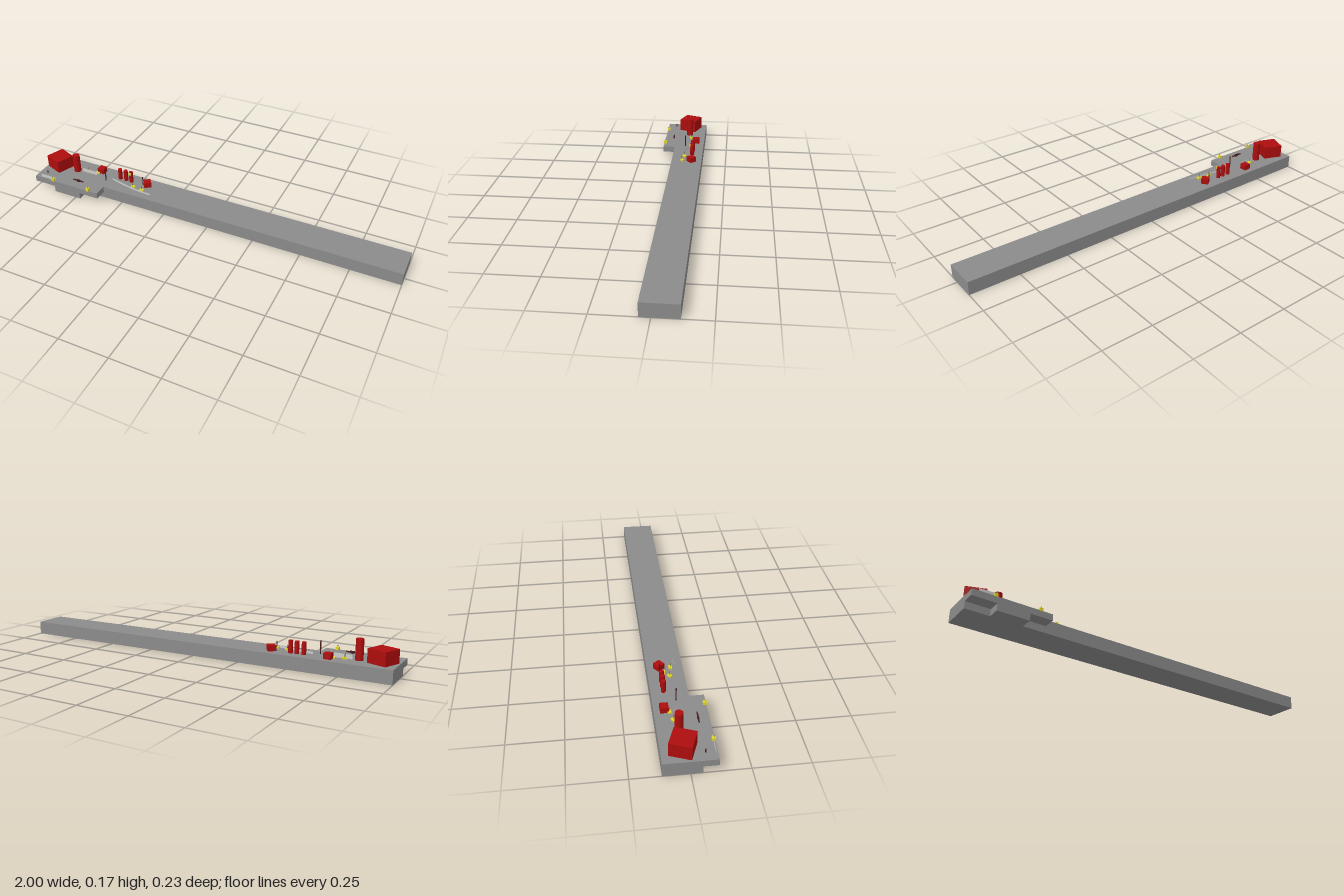
import * as THREE from 'three';

export function createModel() {
  const group = new THREE.Group();
  const mat = (color) => new THREE.MeshStandardMaterial({ color, flatShading: true });
  const grey = mat(0x8b8b8b), red = mat(0xad0d0d), yellow = mat(0xe0d830), olive = mat(0x6b6420), dark = mat(0x4a1c1c);
  const pale = new THREE.MeshStandardMaterial({ color: 0xcccccc, side: THREE.DoubleSide });
  const top = 0.067; // height of the deck surface

  function add(name, geometry, material, x, y, z, turn = 0) {
    const mesh = new THREE.Mesh(geometry, material);
    mesh.name = name;
    mesh.position.set(x, y, z);
    mesh.rotation.y = turn;
    group.add(mesh);
  }
  // Box given by its limits
  const span = (name, x0, x1, y0, y1, z0, z1) => add(name,
    new THREE.BoxGeometry(x1 - x0, y1 - y0, z1 - z0), grey, (x0 + x1) / 2, (y0 + y1) / 2, (z0 + z1) / 2);
  // Box or post standing on the deck
  const block = (name, x, z, w, h, d, material, turn = 0, base = top) =>
    add(name, new THREE.BoxGeometry(w, h, d), material, x, base + h / 2, z, turn);
  const post = (name, x, z, r, h, material, sides = 12, base = top) =>
    add(name, new THREE.CylinderGeometry(r, r, h, sides), material, x, base + h / 2, z);

  // Long base with a side apron, deeper in the middle
  span('longBase', -1, 1, 0, top, -0.117, 0.05);
  span('apronEnd', -1, -0.88, 0.035, top, 0.05, 0.116);
  span('apronMiddle', -0.88, -0.722, 0, top, 0.05, 0.116);
  span('apronEnd', -0.722, -0.61, 0.035, top, 0.05, 0.116);

  // Red crates and tanks
  block('largeCrate', -0.928, -0.024, 0.099, 0.067, 0.099, red, -0.37);
  block('smallCrate', -0.69, -0.071, 0.037, 0.028, 0.037, red);
  block('turnedCrate', -0.403, -0.061, 0.038, 0.028, 0.038, red, 0.65);
  post('tallTank', -0.82, -0.025, 0.019, 0.1, red);
  for (const x of [-0.567, -0.532, -0.5]) post('slimTank', x, -0.059, 0.011, 0.061, red);

  // Thin poles
  post('mast', -0.63, -0.011, 0.003, 0.066, dark, 6);
  post('antenna', -0.43, -0.06, 0.002, 0.048, dark, 5);

  // Yellow boxes with short aerials
  for (const x of [-0.888, -0.67]) {
    block('edgeBox', x, 0.11, 0.016, 0.017, 0.016, yellow, 0, 0.064);
    post('edgeAerial', x, 0.112, 0.0015, 0.007, olive, 5, 0.081);
  }
  for (const [x, z, turn] of [[-0.757, -0.038, 0.5], [-0.705, -0.05, 0.2], [-0.467, -0.018, 0.5], [-0.408, -0.008, 0]]) {
    block('deckBox', x, z, 0.022, 0.008, 0.016, yellow, turn);
    post('deckAerial', x, z, 0.0015, 0.028, olive, 5);
  }
  block('tankLabel', -0.5, -0.046, 0.012, 0.013, 0.006, yellow, 0, 0.115);

  // Mounted barrel and a small stand on the apron
  post('barrelStand', -0.757, 0.066, 0.004, 0.009, dark, 6);
  block('barrel', -0.757, 0.066, 0.062, 0.005, 0.005, dark, 0, top + 0.006);
  block('barrelBody', -0.757, 0.066, 0.022, 0.01, 0.007, dark, 0, top + 0.004);
  post('smallStand', -0.954, 0.066, 0.003, 0.017, dark, 6);

  // Low upright sheets, one of them curved
  const barriers = [
    { x0: -0.6, x1: -0.35, z0: -0.03, z1: 0.011, height: 0.011 },
    { x0: -0.965, x1: -0.875, z0: 0.107, z1: 0.107, height: 0.018 },
    { x0: -0.79, x1: -0.7, z0: -0.03, z1: -0.03, height: 0.022 },
  ];
  for (const { x0, x1, z0, z1, height } of barriers) {
    const sheet = new THREE.PlaneGeometry(x1 - x0, height, 12, 1);
    const p = sheet.attributes.position;
    for (let i = 0; i < p.count; i++) {
      const t = p.getX(i) / (x1 - x0) + 0.5;
      p.setZ(i, z0 + (z1 - z0) * Math.sin(t * Math.PI / 2));
    }
    sheet.computeVertexNormals();
    add('lowBarrier', sheet, pale, (x0 + x1) / 2, top + height / 2, 0);
  }
  return group;
}
